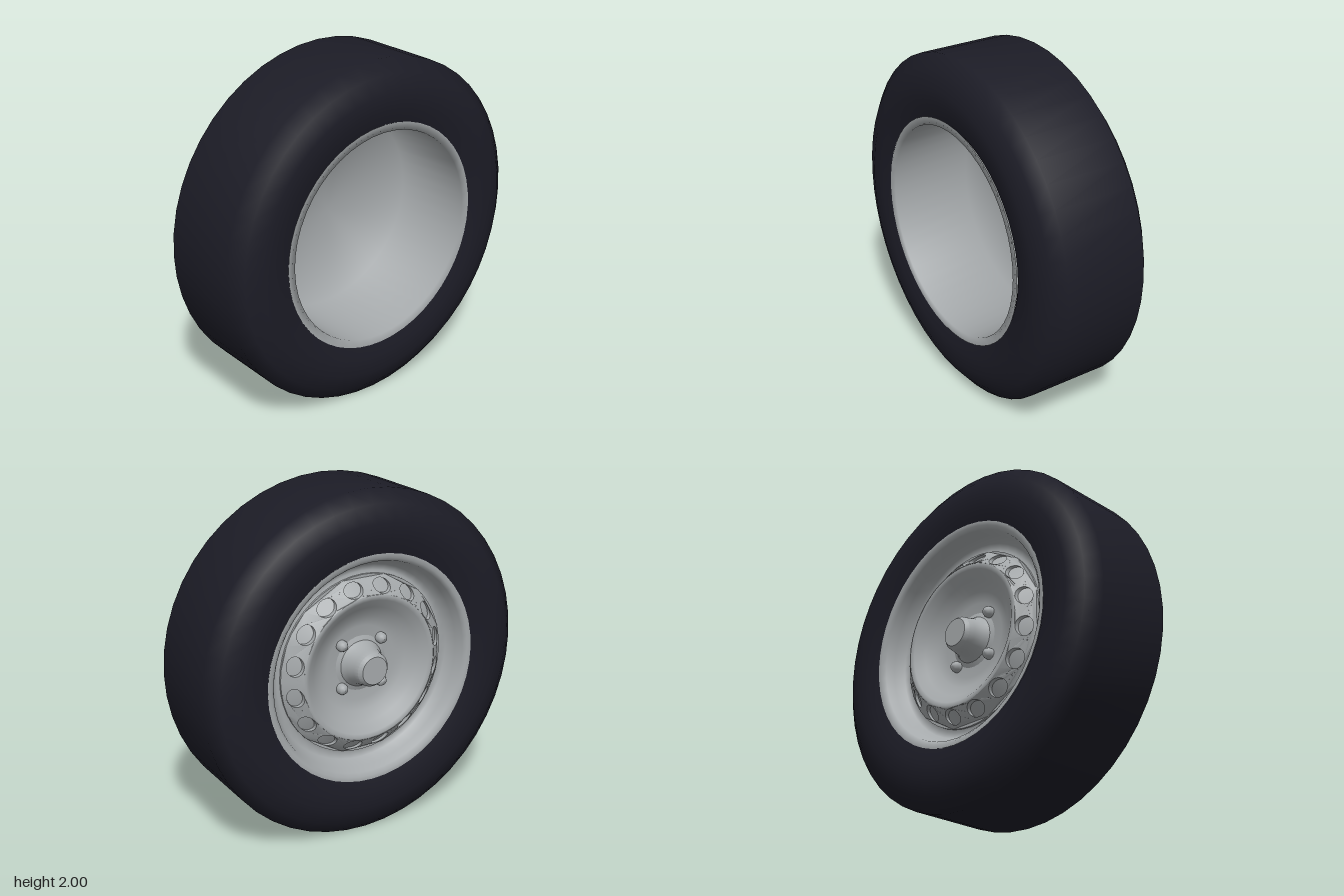
import * as THREE from 'three';
import { toCreasedNormals } from 'three/addons/utils/BufferGeometryUtils.js';

const rubber = new THREE.MeshStandardMaterial({ color: 0x1c1c26 });
rubber.name = 'dark rubber';
const steel = new THREE.MeshStandardMaterial({ color: 0xa5a9ab });
steel.name = 'grey steel';

// Turned part: points are [radius, distance towards the outer (-x) face]
function turned(name, points, material, segments = 48, crease = 0) {
  let geometry = new THREE.LatheGeometry(points.map(([r, h]) => new THREE.Vector2(r, h)), segments);
  geometry.rotateZ(Math.PI / 2);
  if (crease) geometry = toCreasedNormals(geometry, crease);
  const mesh = new THREE.Mesh(geometry, material);
  mesh.name = name;
  return mesh;
}

// Conical ring pierced by oval ventilation slots
function slottedRing() {
  const inner = 0.422, outer = 0.52, thickness = 0.025, slots = 16;
  const shape = new THREE.Shape().absarc(0, 0, outer, 0, Math.PI * 2);
  shape.holes.push(new THREE.Path().absarc(0, 0, inner, 0, Math.PI * 2, true));
  for (let i = 0; i < slots; i++) {
    const a = ((i + 0.5) / slots) * Math.PI * 2;
    const slot = new THREE.Path();
    slot.absellipse(0.464 * Math.cos(a), 0.464 * Math.sin(a), 0.037, 0.056, 0, Math.PI * 2, true, a);
    shape.holes.push(slot);
  }
  const geometry = new THREE.ExtrudeGeometry(shape, { depth: thickness, bevelEnabled: false, curveSegments: 24 });
  // Slope the flat ring back towards its outer edge
  const p = geometry.attributes.position;
  for (let i = 0; i < p.count; i++) {
    const r = Math.hypot(p.getX(i), p.getY(i));
    p.setZ(i, p.getZ(i) - thickness + 0.285 - (r - inner) * 0.85);
  }
  geometry.rotateY(-Math.PI / 2);
  const mesh = new THREE.Mesh(toCreasedNormals(geometry, 0.6), steel);
  mesh.name = 'slottedRing';
  return mesh;
}

export function createModel() {
  const wheel = new THREE.Group();
  wheel.name = 'wheel';

  // Tyre with rounded shoulders and sidewalls that dip towards the rim
  wheel.add(turned('tyre', [
    [0.64, -0.3], [0.66, -0.313], [0.74, -0.328], [0.83, -0.336], [0.925, -0.3], [1, -0.24],
    [1, 0.24], [0.925, 0.3], [0.83, 0.336], [0.74, 0.328], [0.66, 0.313], [0.64, 0.3],
  ], rubber));

  // Inner side: deep barrel closed by a wall just behind the dish, with a flat lip
  wheel.add(turned('innerBarrel', [[0, 0.168], [0.595, 0.168], [0.614, -0.314], [0.66, -0.318]], steel));

  // Outer side: lip and barrel, then the wall behind the slots
  wheel.add(turned('outerBarrel', [
    [0.66, 0.318], [0.635, 0.318], [0.615, 0.3], [0.6, 0.25], [0.57, 0.195], [0.535, 0.18], [0.505, 0.2],
  ], steel));
  wheel.add(turned('slotBacking', [[0.52, 0.176], [0.42, 0.261]], steel));
  wheel.add(slottedRing());

  // Dished centre inside the crest of the slotted ring
  wheel.add(turned('dish', [
    [0.425, 0.281], [0.412, 0.287], [0.39, 0.28], [0.34, 0.24], [0.28, 0.2], [0.22, 0.18], [0.1, 0.175],
  ], steel));

  // Flared hub with a flat bevelled end
  wheel.add(turned('hub', [
    [0.17, 0.174], [0.135, 0.188], [0.115, 0.22], [0.103, 0.27], [0.097, 0.305], [0.08, 0.327], [0, 0.327],
  ], steel, 32, 0.5));

  // Four domed wheel nuts
  for (let i = 0; i < 4; i++) {
    const a = Math.PI / 4 + (i * Math.PI) / 2;
    const nut = turned('wheelNut', [[0.032, 0], [0.032, 0.025], [0.023, 0.043], [0, 0.05]], steel, 16);
    nut.position.set(-0.174, 0.18 * Math.sin(a), 0.18 * Math.cos(a));
    wheel.add(nut);
  }

  // Stand the wheel on the ground
  for (const part of wheel.children) part.position.y += 1;
  return wheel;
}
